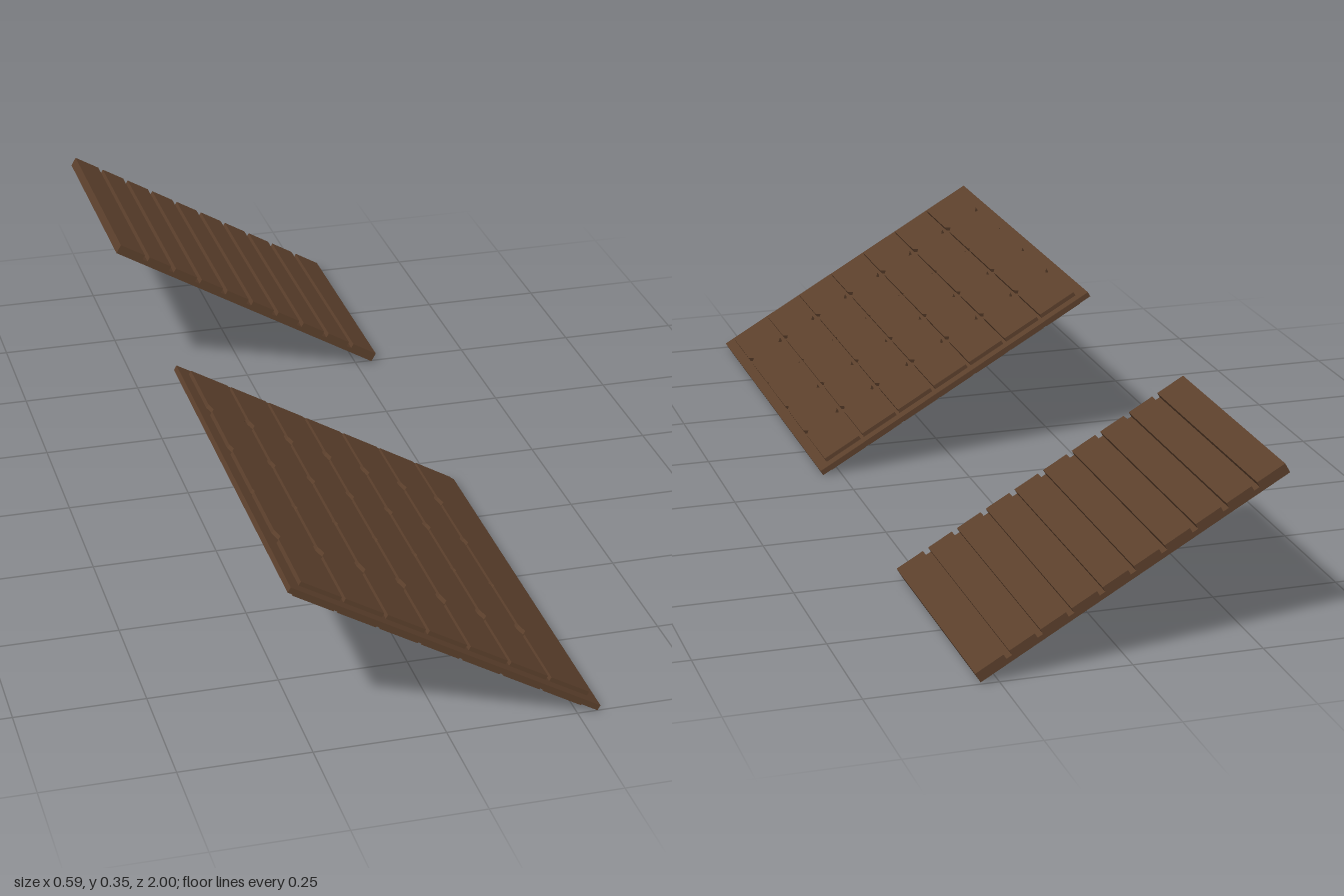
import * as THREE from 'three';

const SLOPE = Math.PI / 6;
const wood = new THREE.MeshStandardMaterial({ color: 0x5c402c });
wood.name = 'darkWood';

// Box from its limits: a runs down the slope, n is the height off it
function slab(name, a0, a1, n0, n1, z0, z1) {
  const mesh = new THREE.Mesh(new THREE.BoxGeometry(a1 - a0, n1 - n0, z1 - z0), wood);
  mesh.position.set((a0 + a1) / 2, (n0 + n1) / 2, (z0 + z1) / 2);
  mesh.name = name;
  return mesh;
}

// Plank with small V-shaped chips along both long edges
function chippedPlank(name, a0, a1, n0, n1, z0, z1, chips) {
  const s = new THREE.Shape();
  s.moveTo(a0, -z0);
  s.lineTo(a1, -z0);
  for (const [z, r] of chips) {
    s.lineTo(a1, -z + r);
    s.lineTo(a1 - r * 0.5, -z);
    s.lineTo(a1, -z - r);
  }
  s.lineTo(a1, -z1);
  s.lineTo(a0, -z1);
  for (const [z, r] of [...chips].reverse()) {
    s.lineTo(a0, -z - r);
    s.lineTo(a0 + r * 0.5, -z);
    s.lineTo(a0, -z + r);
  }
  s.closePath();
  const g = new THREE.ExtrudeGeometry(s, { depth: n1 - n0, bevelEnabled: false });
  g.rotateX(-Math.PI / 2);
  // the outline is drawn clockwise in places seen from above, so keep corners consistent
  g.translate(0, n0, 0);
  const mesh = new THREE.Mesh(g, wood);
  mesh.name = name;
  return mesh;
}

export function createModel() {
  const model = new THREE.Group();
  model.name = 'slopedPanels';

  // Large panel: core sheet with planks on both faces, leaving a ledge all round
  const large = new THREE.Group();
  large.name = 'largePanel';
  large.add(slab('coreSheet', -0.425, 0.25, 0.144, 0.155, 0.1, 1));
  const pitch = 0.09, gap = 0.008;
  for (let i = 0; i < 7; i++) {
    const a0 = -0.402 + i * pitch + (i > 0 ? gap / 2 : 0);
    const a1 = -0.402 + (i + 1) * pitch - (i < 6 ? gap / 2 : 0);
    const chips = [[0.29, 0.016], [0.46, 0.013], [0.635, 0.006], [0.805, 0.018]];
    large.add(chippedPlank('upperPlank', a0, a1, 0.1545, 0.1635, 0.122, 0.978, chips));
    large.add(chippedPlank('lowerPlank', a0, a1, 0.133, 0.1445, 0.122, 0.978, chips));
  }
  large.rotation.z = -SLOPE;

  // Small panel: smooth backing sheet with ten planks on top
  const small = new THREE.Group();
  small.name = 'smallPanel';
  small.add(slab('backingSheet', -0.419, 0.245, 0.145, 0.155, -1, -0.49));
  const step = 0.0664, groove = 0.012;
  for (let i = 0; i < 10; i++) {
    const a0 = -0.419 + i * step + (i > 0 ? groove / 2 : 0);
    const a1 = -0.419 + (i + 1) * step - (i < 9 ? groove / 2 : 0);
    small.add(slab('smallPlank', a0, a1, 0.1545, 0.1655, -1, -0.49));
  }
  small.rotation.z = -SLOPE;

  model.add(large, small);
  return model;
}
